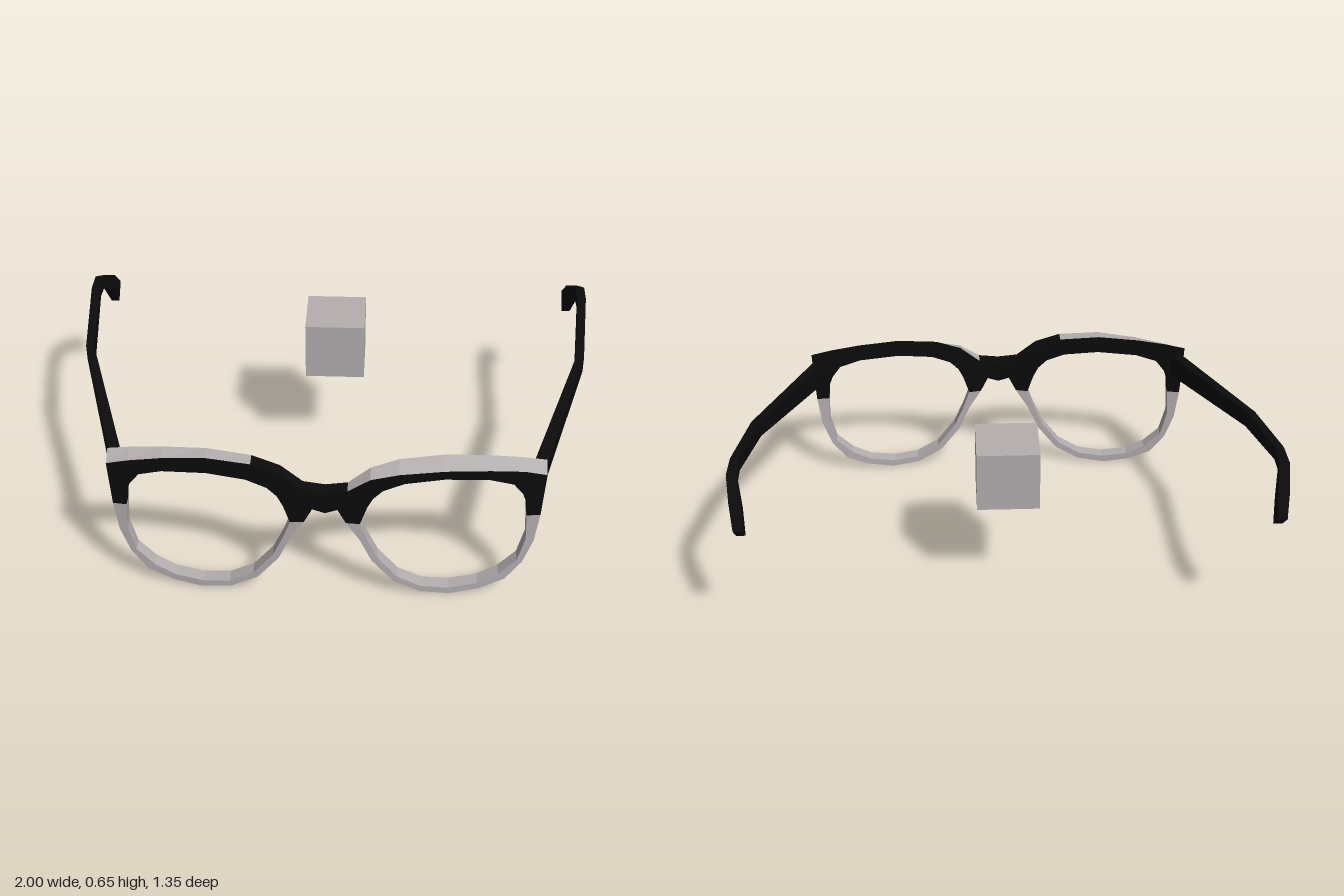
import * as THREE from 'three';

const black = new THREE.MeshStandardMaterial({ color: 0x0b0b0b });
black.name = 'black acetate';
const grey = new THREE.MeshStandardMaterial({ color: 0xb4aeaf });
grey.name = 'warm grey';

// Joins four-cornered rings into a faceted bar; pick(segment, face) gives each face's material
function bar(name, rings, { closed = false, mirror = false, pick = () => black } = {}) {
  const buckets = new Map();
  const quad = (mat, a, b, c, d) => {
    if (!buckets.has(mat)) buckets.set(mat, []);
    const corners = mirror ? [a, c, b, a, d, c] : [a, b, c, a, c, d];
    for (const [x, y, z] of corners) buckets.get(mat).push(mirror ? -x : x, y, z);
  };
  const count = closed ? rings.length : rings.length - 1;
  for (let i = 0; i < count; i++) {
    const p = rings[i], q = rings[(i + 1) % rings.length];
    for (let k = 0; k < 4; k++) {
      const n = (k + 1) % 4;
      quad(pick(i, k), p[k], p[n], q[n], q[k]);
    }
  }
  if (!closed) {
    const [a, b, c, d] = rings[0];
    quad(pick(0, 0), d, c, b, a);
    quad(pick(0, 0), ...rings[rings.length - 1]);
  }
  const group = new THREE.Group();
  group.name = name;
  for (const [mat, verts] of buckets) {
    const geo = new THREE.BufferGeometry();
    geo.setAttribute('position', new THREE.Float32BufferAttribute(verts, 3));
    geo.computeVertexNormals();
    const mesh = new THREE.Mesh(geo, mat);
    mesh.name = name + (mat === black ? 'Dark' : 'Light');
    group.add(mesh);
  }
  return group;
}

// Wraparound curve of the frame front
const frontZ = (x) => 0.67 - 0.068 * Math.pow(Math.abs(x) / 0.78, 1.5);
const backZ = (x) => 0.62 - 0.068 * Math.pow(Math.abs(x) / 0.78, 1.3);

// Front-outer, front-inner, back-inner, back-outer corners; drop bevels the front edge
const frameRing = (ox, oy, ix, iy, drop = 0) => [
  [ox, oy - drop, frontZ(ox)], [ix, iy, frontZ(ix)],
  [ix, iy, backZ(ix)], [ox, oy, backZ(ox)],
];

// Rim outline: outer x, y, inner x, y, from the nose over the brow and round
const rimPoints = [
  [0.075, 0.35, 0.125, 0.345], [0.045, 0.41, 0.15, 0.42],
  [0.08, 0.495, 0.17, 0.46], [0.16, 0.56, 0.205, 0.495],
  [0.26, 0.595, 0.28, 0.525], [0.42, 0.61, 0.42, 0.54],
  [0.58, 0.60, 0.58, 0.53], [0.70, 0.585, 0.665, 0.505],
  [0.78, 0.57, 0.70, 0.46], [0.775, 0.45, 0.715, 0.42],
  [0.77, 0.36, 0.72, 0.36], [0.755, 0.24, 0.725, 0.25],
  [0.72, 0.14, 0.70, 0.15], [0.66, 0.06, 0.635, 0.085],
  [0.57, 0.02, 0.56, 0.045], [0.46, 0, 0.455, 0.028],
  [0.35, 0.015, 0.355, 0.04], [0.25, 0.07, 0.265, 0.09],
  [0.17, 0.17, 0.19, 0.185], [0.125, 0.27, 0.15, 0.275],
];
// Front bevel of the brow at rim points 2 to 8
const leftDrops = [0, 0.015, 0.03, 0.035, 0.03, 0.025, 0.03];
const rightDrops = [0, 0, 0, 0.003, 0.012, 0.022, 0.03];

function rim(name, drops, firstLight, mirror) {
  const rings = rimPoints.map((p, i) => frameRing(...p, drops[i - 2] ?? 0));
  // Dark brow, light lower rim and light crest along the top
  const pick = (i, k) => (i >= 10 || (k === 3 && i >= firstLight && i <= 7) ? grey : black);
  return bar(name, rings, { closed: true, mirror, pick });
}

// Temple sections: top z, y, bottom z, y, inner x, outer x
const templeSections = [
  [0.575, 0.53, 0.575, 0.44, 0.722, 0.77],
  [-0.05, 0.603, -0.05, 0.54, 0.93, 0.962],
  [-0.40, 0.655, -0.41, 0.61, 0.965, 0.997],
  [-0.50, 0.648, -0.48, 0.61, 0.963, 1.0],
  [-0.60, 0.597, -0.565, 0.553, 0.942, 0.985],
  [-0.675, 0.525, -0.612, 0.465, 0.935, 0.968],
];

function temple(name, mirror) {
  const rings = templeSections.map(([tz, ty, bz, by, xi, xo]) => [
    [xi, ty, tz], [xo, ty, tz], [xo, by, bz], [xi, by, bz],
  ]);
  return bar(name, rings, { mirror });
}

export function createModel() {
  const model = new THREE.Group();
  model.name = 'eyeglasses';
  model.add(rim('leftRim', leftDrops, 2, false));
  model.add(rim('rightRim', rightDrops, 4, true));

  // Nose bridge between the rims
  model.add(bar('bridge', [
    frameRing(-0.08, 0.495, -0.045, 0.41),
    frameRing(0, 0.486, 0, 0.395),
    frameRing(0.08, 0.495, 0.045, 0.41),
  ]));

  model.add(temple('leftTemple', false), temple('rightTemple', true));

  // Loose cube floating between the temples
  const cube = new THREE.Mesh(new THREE.BoxGeometry(0.232, 0.232, 0.232), grey);
  cube.name = 'cube';
  cube.position.set(0, 0.525, -0.281);
  model.add(cube);
  return model;
}
